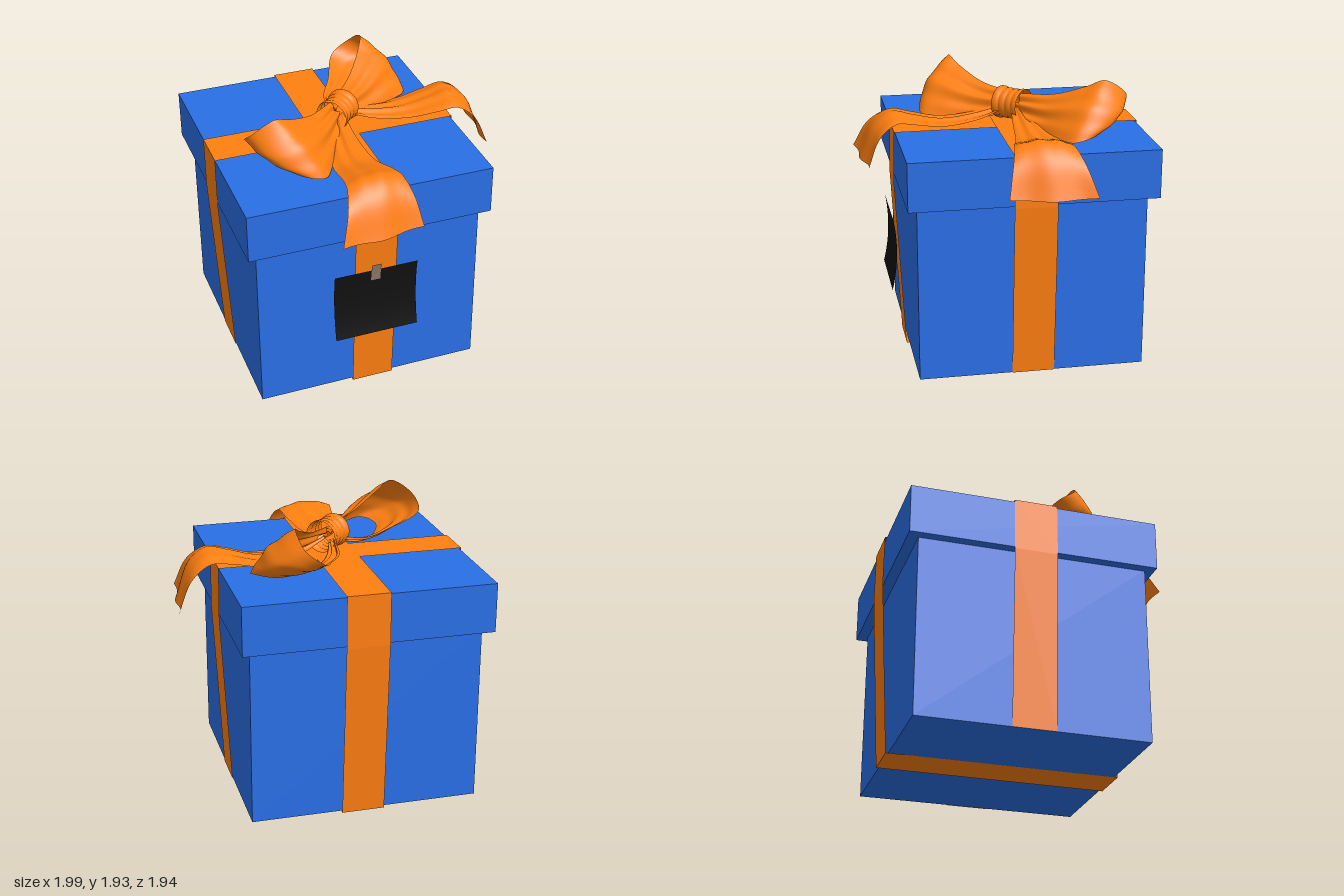
import * as THREE from 'three';

const material = (color, side = THREE.FrontSide) =>
  new THREE.MeshStandardMaterial({ color, side, roughness: 0.7 });
const blue = material(0x2a6fe6);
const orange = material(0xff7f11, THREE.DoubleSide);
const black = material(0x111111, THREE.DoubleSide);
const brown = material(0x96796a, THREE.DoubleSide);

// Grid surface from point(s, t), with s and t running 0..1
function sheet(name, point, ns, nt, mat) {
  const pos = [], index = [];
  for (let i = 0; i <= ns; i++) {
    for (let j = 0; j <= nt; j++) {
      pos.push(...point(i / ns, j / nt).toArray());
      if (i < ns && j < nt) {
        const a = i * (nt + 1) + j, b = a + nt + 1;
        index.push(a, b, a + 1, b, b + 1, a + 1);
      }
    }
  }
  const geo = new THREE.BufferGeometry();
  geo.setAttribute('position', new THREE.Float32BufferAttribute(pos, 3));
  geo.setIndex(index);
  geo.computeVertexNormals();
  const mesh = new THREE.Mesh(geo, mat);
  mesh.name = name;
  return mesh;
}

function box(name, x0, x1, y0, y1, z0, z1) {
  const mesh = new THREE.Mesh(new THREE.BoxGeometry(x1 - x0, y1 - y0, z1 - z0), blue);
  mesh.position.set((x0 + x1) / 2, (y0 + y1) / 2, (z0 + z1) / 2);
  mesh.name = name;
  return mesh;
}

// Flat band folded sharply along a path of [along, y] corners
function band(name, path, c0, c1, alongZ) {
  const group = new THREE.Group();
  group.name = name;
  for (let i = 0; i + 1 < path.length; i++) {
    const [a, b] = [path[i], path[i + 1]];
    group.add(sheet(name + 'Panel', (s, t) => {
      const p = THREE.MathUtils.lerp(a[0], b[0], s);
      const y = THREE.MathUtils.lerp(a[1], b[1], s);
      const c = THREE.MathUtils.lerp(c0, c1, t);
      return alongZ ? new THREE.Vector3(c, y, p) : new THREE.Vector3(p, y, c);
    }, 1, 1, orange));
  }
  return group;
}

const curve = (pts) => new THREE.CatmullRomCurve3(pts.map((p) => new THREE.Vector3(...p)));
// The two halves of the bow mirror each other across the x = z diagonal
const mirrored = (p, flip) => (flip ? new THREE.Vector3(p.z, p.y, p.x) : p);

// Loop edges as [distance out from the knot, height, distance towards the front corner]
const loopTop = curve([
  [0.04, 1.77, -0.03], [0.3, 1.8, -0.05], [0.53, 1.88, -0.09], [0.65, 1.93, -0.13], [0.735, 1.83, -0.26],
  [0.66, 1.74, -0.35], [0.42, 1.67, -0.27], [0.2, 1.65, -0.2], [0.03, 1.68, -0.06]]);
const loopBottom = curve([
  [0.04, 1.63, 0.08], [0.3, 1.585, 0.14], [0.5, 1.575, 0.2], [0.63, 1.575, 0.22], [0.71, 1.6, 0.14],
  [0.67, 1.59, 0.0], [0.42, 1.58, -0.1], [0.2, 1.6, -0.09], [0.03, 1.64, -0.02]]);

function bowLoop(name, flip) {
  return sheet(name, (s, t) => {
    const p = loopTop.getPoint(s).lerp(loopBottom.getPoint(s), t);
    const belly = Math.sin(Math.PI * t);
    const turn = Math.sin(Math.PI * s);
    p.x += 0.06 * belly * turn ** 6;
    // Gathers running out of the knot, and a soft belly on the front strand
    const fold = Math.sin(t * Math.PI * 5) * 0.014 * (1 - 0.75 * turn) * belly;
    const puff = s < 0.5 ? 0.03 * belly * Math.sin(2 * Math.PI * s) : 0;
    p.y += fold + puff;
    p.z += fold + puff;
    const k = Math.SQRT1_2;
    return mirrored(new THREE.Vector3(-0.1 + k * (p.x + p.z), p.y, -0.1 + k * (p.z - p.x)), flip);
  }, 72, 28, orange);
}

// Tail centre line and its half width and edge droop (in a matching curve)
const tailLine = curve([
  [-0.06, 1.69, -0.12], [0.15, 1.63, -0.15], [0.4, 1.6, -0.165], [0.6, 1.645, -0.145],
  [0.74, 1.675, -0.145], [0.86, 1.59, -0.15], [0.955, 1.34, -0.165]]);
const tailShape = curve([
  [0.05, 0, 0], [0.1, 0.02, 0], [0.145, 0.02, 0], [0.175, 0.03, 0],
  [0.195, 0.045, 0], [0.23, 0.04, 0], [0.285, -0.015, 0]]);

function bowTail(name, flip) {
  return sheet(name, (s, t) => {
    const p = tailLine.getPoint(s), { x: half, y: droop } = tailShape.getPoint(s);
    const e = 2 * t - 1;
    p.x += -0.03 * e * s * s;
    p.y += -droop * e * e + 0.012 * Math.sin(e * 9) * (1 - s) * (1 - e * e);
    p.z += half * e;
    p.x += 0.012 * Math.cos(e * 5) * s ** 4;
    return mirrored(p, flip);
  }, 40, 24, orange);
}

export function createModel() {
  const model = new THREE.Group();
  model.name = 'giftBox';

  // Box and lid
  model.add(box('boxBody', -0.93, 0.62, 0.006, 1.23, -0.87, 0.672));
  model.add(box('lid', -0.995, 0.68, 1.222, 1.556, -0.942, 0.735));

  // Ribbons over the lid, hanging straight from its rim to the base
  model.add(band('frontBackRibbon', [
    [0.69, 0], [0.752, 1.21], [0.742, 1.565], [-0.952, 1.565], [-0.955, 1.21], [-0.89, 0], [0.69, 0],
  ], -0.28, 0.01, true));
  model.add(band('sideRibbon', [
    [-0.935, 0.005], [-1, 1.21], [-1, 1.568], [0.686, 1.568], [0.69, 1.21], [0.625, 0.005],
  ], -0.25, 0.04, false));

  // Bow loops and tails
  const bow = new THREE.Group();
  bow.name = 'bow';
  bow.add(bowLoop('leftLoop', false), bowLoop('rightLoop', true));
  bow.add(bowTail('leftTail', false), bowTail('frontTail', true));

  // Gathered knot, turned about the line through both loops
  const profile = [];
  for (let i = 0; i <= 40; i++) {
    const a = i / 40;
    const r = 0.098 + 0.007 * Math.abs(Math.sin(a * Math.PI * 4)) + 0.012 * (2 * a - 1) ** 2;
    profile.push(new THREE.Vector2(r, (a - 0.5) * 0.2));
  }
  const knot = new THREE.Mesh(new THREE.LatheGeometry(profile, 32), orange);
  knot.name = 'knot';
  knot.rotation.set(0, Math.PI / 4, Math.PI / 2, 'YXZ');
  knot.position.set(-0.1, 1.7, -0.09);
  bow.add(knot);
  model.add(bow);

  // Curved tag with its clip
  const tagZ = (y) => 0.757 + 0.42 * (y - 0.77) ** 2;
  const tagPart = (name, x0, x1, y0, y1, lift, mat) => sheet(name, (s, t) => {
    const y = THREE.MathUtils.lerp(y0, y1, t);
    return new THREE.Vector3(THREE.MathUtils.lerp(x0, x1, s), y, tagZ(y) + lift);
  }, 1, 16, mat);
  model.add(tagPart('tag', -0.435, 0.145, 0.47, 0.975, 0, black));
  model.add(tagPart('tagClip', -0.18, -0.115, 0.89, 1.025, 0.004, brown));

  return model;
}
